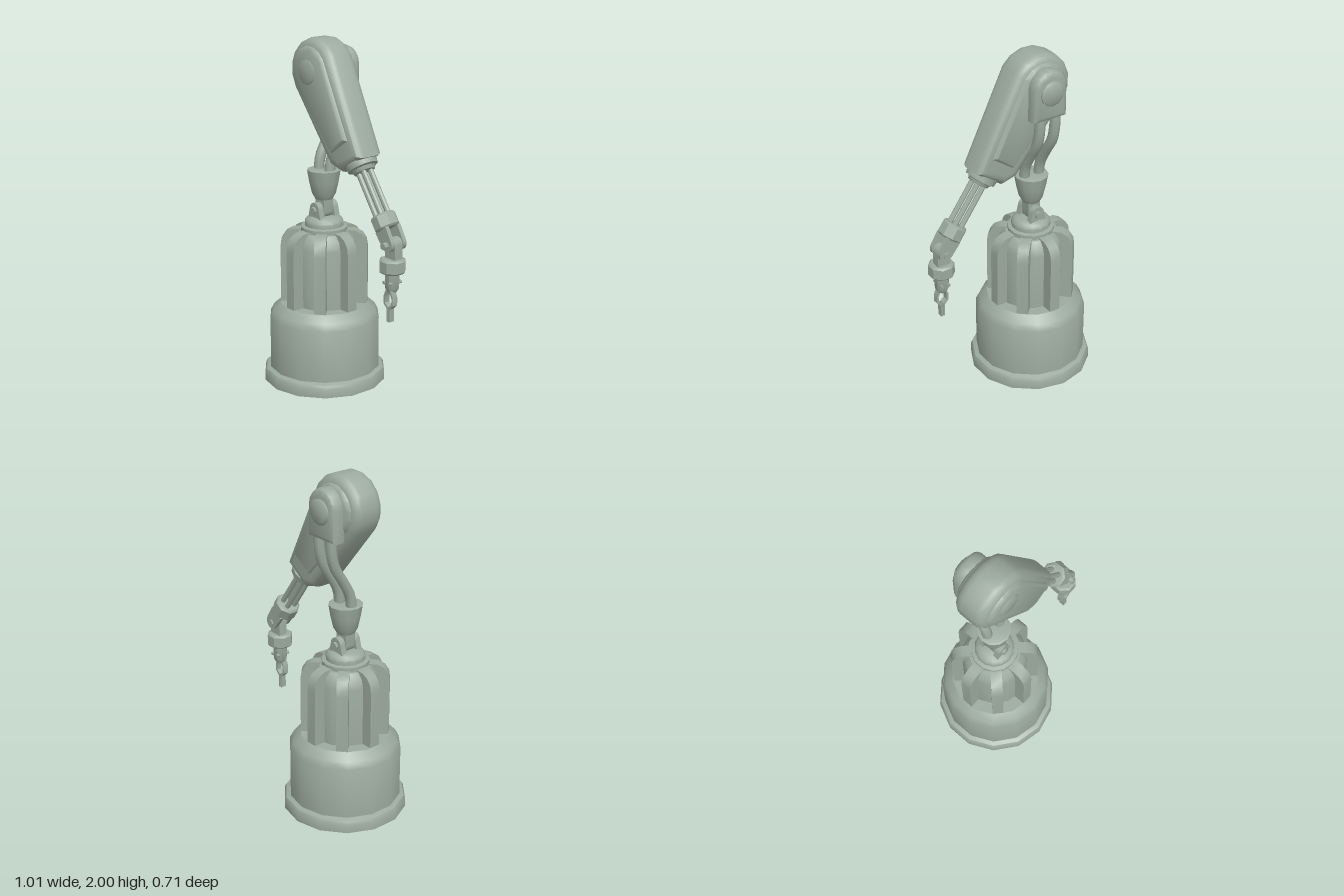
import * as THREE from 'three';
import { toCreasedNormals } from 'three/addons/utils/BufferGeometryUtils.js';

const shell = new THREE.MeshStandardMaterial({ color: 0x9caa9e });
shell.name = 'grey green';

function add(parent, name, geometry, x = 0, y = 0, z = 0, crease = 0.65) {
  const mesh = new THREE.Mesh(toCreasedNormals(geometry, crease), shell);
  mesh.name = name;
  mesh.position.set(x, y, z);
  parent.add(mesh);
  return mesh;
}

function group(parent, name, x = 0, y = 0, z = 0) {
  const g = new THREE.Group();
  g.name = name;
  g.position.set(x, y, z);
  parent.add(g);
  return g;
}

const lathe = (points, sides) =>
  new THREE.LatheGeometry(points.map(([r, y]) => new THREE.Vector2(r, y)), sides);

const polygon = (points) => new THREE.Shape(points.map(([x, y]) => new THREE.Vector2(x, y)));

// Extrusion centred on z, with its outline kept when bevelled
function slab(shape, depth, bevel = 0, steps = 2, curveSegments = 4) {
  const g = new THREE.ExtrudeGeometry(shape, {
    depth: depth - 2 * bevel, bevelEnabled: bevel > 0, bevelSize: bevel,
    bevelThickness: bevel, bevelOffset: -bevel, bevelSegments: steps, curveSegments,
  });
  return g.translate(0, 0, bevel - depth / 2);
}

// Shallow domed button pointing along z
function button(parent, name, r, height, x, y, z, side) {
  const m = add(parent, name, lathe([[r, -0.02], [r, height * 0.4], [r * 0.8, height * 0.85], [0, height]], 12), x, y, z, 0.9);
  m.rotation.x = side * Math.PI / 2;
}

function pin(parent, name, r, length, x, y, z) {
  add(parent, name, new THREE.CylinderGeometry(r, r, length, 8).rotateX(Math.PI / 2), x, y, z);
}

// Lug plate, wide at the foot (y = 0) and rounded round the pivot
function lug(foot, r, height, depth) {
  const s = new THREE.Shape();
  s.moveTo(-foot, 0);
  s.lineTo(foot, 0);
  s.absarc(0, height, r, 0, Math.PI, false);
  return slab(s, depth);
}

function buildBase(root) {
  const base = group(root, 'base', -0.16);
  add(base, 'pedestal', lathe([
    [0, 0], [0.357, 0], [0.357, 0.05], [0.347, 0.07], [0.322, 0.08], [0.322, 0.385],
    [0.302, 0.425], [0.258, 0.465], [0, 0.465]], 14));
  add(base, 'column', lathe([
    [0.19, 0.45], [0.19, 0.81], [0.178, 0.86], [0.15, 0.895], [0, 0.905]], 14));

  // Eight cooling fins round the column
  const fin = polygon([[0.1, 0.45], [0.25, 0.46], [0.25, 0.8], [0.243, 0.845], [0.22, 0.88],
    [0.18, 0.902], [0.1, 0.905]]);
  for (let i = 0; i < 8; i++) {
    add(base, 'fin', slab(fin, 0.065)).rotation.y = i * Math.PI / 4;
  }

  add(base, 'turntable', lathe([
    [0.135, 0.895], [0.135, 0.92], [0.112, 0.925], [0.112, 0.95], [0.1, 0.968],
    [0.075, 0.98], [0, 0.98]], 14));

  // Pivot holding the hose cup
  for (const s of [-1, 1]) {
    add(base, 'pivotLug', lug(0.058, 0.04, 0.07, 0.035), 0, 0.955, s * 0.055);
  }
  pin(base, 'pivotPin', 0.022, 0.175, 0, 1.02, 0);
  const tongue = lug(0.04, 0.04, 0.11, 0.065).rotateZ(Math.PI);
  add(base, 'cupTongue', tongue, 0, 1.12, 0);
  add(base, 'hoseCup', lathe([
    [0, 1.075], [0.05, 1.08], [0.07, 1.115], [0.085, 1.18], [0.097, 1.25], [0.085, 1.255],
    [0, 1.245]], 12));

  // Two hoses bending back to the shoulder plate
  for (const s of [-1, 1]) {
    const path = new THREE.CatmullRomCurve3([
      [1.22, 0], [1.32, -0.015], [1.42, -0.07], [1.51, -0.125], [1.6, -0.145], [1.72, -0.145],
    ].map(([y, z]) => new THREE.Vector3(s * 0.049, y, z)));
    add(base, 'hose', new THREE.TubeGeometry(path, 14, 0.03, 8), 0, 0, 0, 0.9);
  }

  // Shoulder plate behind the arm
  const plate = new THREE.Shape();
  plate.moveTo(-0.105, 1.66);
  plate.lineTo(0.105, 1.66);
  plate.absarc(0, 1.84, 0.105, 0, Math.PI, false);
  add(base, 'shoulderPlate', slab(plate, 0.1, 0.028, 2), 0, 0, -0.135, 0.8);
  button(base, 'rearCap', 0.072, 0.022, 0, 1.82, -0.184, -1);
}

function buildArm(root) {
  // Local -y runs from the shoulder down to the wrist
  const arm = group(root, 'arm', -0.165, 1.815, 0);
  arm.rotation.z = 0.61;

  const body = new THREE.Shape();
  body.moveTo(-0.093, -0.575);
  body.lineTo(0.095, -0.575);
  body.absarc(0, 0, 0.188, 0, Math.PI, false);
  body.lineTo(-0.155, -0.5);
  add(arm, 'armBody', slab(body, 0.2, 0.055, 4, 4), 0, 0, 0, 0.8);

  // Raised side panels
  const panel = new THREE.Shape();
  panel.moveTo(-0.085, -0.46);
  panel.lineTo(0.075, -0.46);
  panel.absarc(0, 0, 0.145, 0, Math.PI, false);
  add(arm, 'sidePanels', slab(panel, 0.232, 0.018, 1, 4), 0, 0, 0, 0.8);
  button(arm, 'frontCap', 0.07, 0.014, 0, 0, 0.114, 1);

  // Stepped collar and rods
  add(arm, 'armCollar', lathe([
    [0, -0.625], [0.06, -0.625], [0.07, -0.605], [0.088, -0.6], [0.092, -0.565], [0, -0.56]], 12));
  for (const x of [-1, 1]) for (const z of [-1, 1]) {
    add(arm, 'rod', new THREE.CylinderGeometry(0.015, 0.015, 0.32, 8), x * 0.023, -0.75, z * 0.025);
  }

  // Wrist block with fork
  add(arm, 'wristBlock', lathe([
    [0, -0.965], [0.062, -0.965], [0.073, -0.955], [0.073, -0.89], [0.062, -0.88], [0, -0.88]], 8)
    .rotateY(Math.PI / 8));
  for (const s of [-1, 1]) {
    add(arm, 'wristLug', lug(0.048, 0.042, 0.09, 0.024).rotateZ(Math.PI), 0, -0.96, s * 0.042);
  }
}

function buildHand(root) {
  const hand = group(root, 'hand', 0.435, 0, 0.008);
  pin(hand, 'wristPin', 0.02, 0.145, 0, 0.95, 0);
  add(hand, 'wristTongue', lug(0.04, 0.04, 0.09, 0.055), 0, 0.86, -0.008);
  add(hand, 'handBlock', lathe([
    [0, 0.79], [0.064, 0.79], [0.075, 0.8], [0.075, 0.86], [0.064, 0.87], [0, 0.87]], 8)
    .rotateY(Math.PI / 8));
  add(hand, 'palm', lathe([
    [0, 0.675], [0.026, 0.68], [0.04, 0.705], [0.043, 0.8]], 8).rotateY(Math.PI / 8));
  for (const x of [-1, 1]) {
    pin(hand, 'palmRivet', 0.01, 0.09, x * 0.02, 0.735, 0);
  }

  // Mirrored gripper fingers
  const outline = [[0.02, 0.695], [0.037, 0.655], [0.037, 0.61], [0.012, 0.585], [0.012, 0.51],
    [0.002, 0.51], [0.002, 0.595], [0.026, 0.615], [0.026, 0.65], [0.01, 0.685]];
  for (const s of [-1, 1]) {
    const geometry = slab(polygon(outline.map(([x, y]) => [s * x, y])), 0.034);
    add(hand, 'finger', geometry, 0, 0, 0.012);
  }
}

export function createModel() {
  const root = new THREE.Group();
  root.name = 'roboticArm';
  buildBase(root);
  buildArm(root);
  buildHand(root);
  return root;
}
